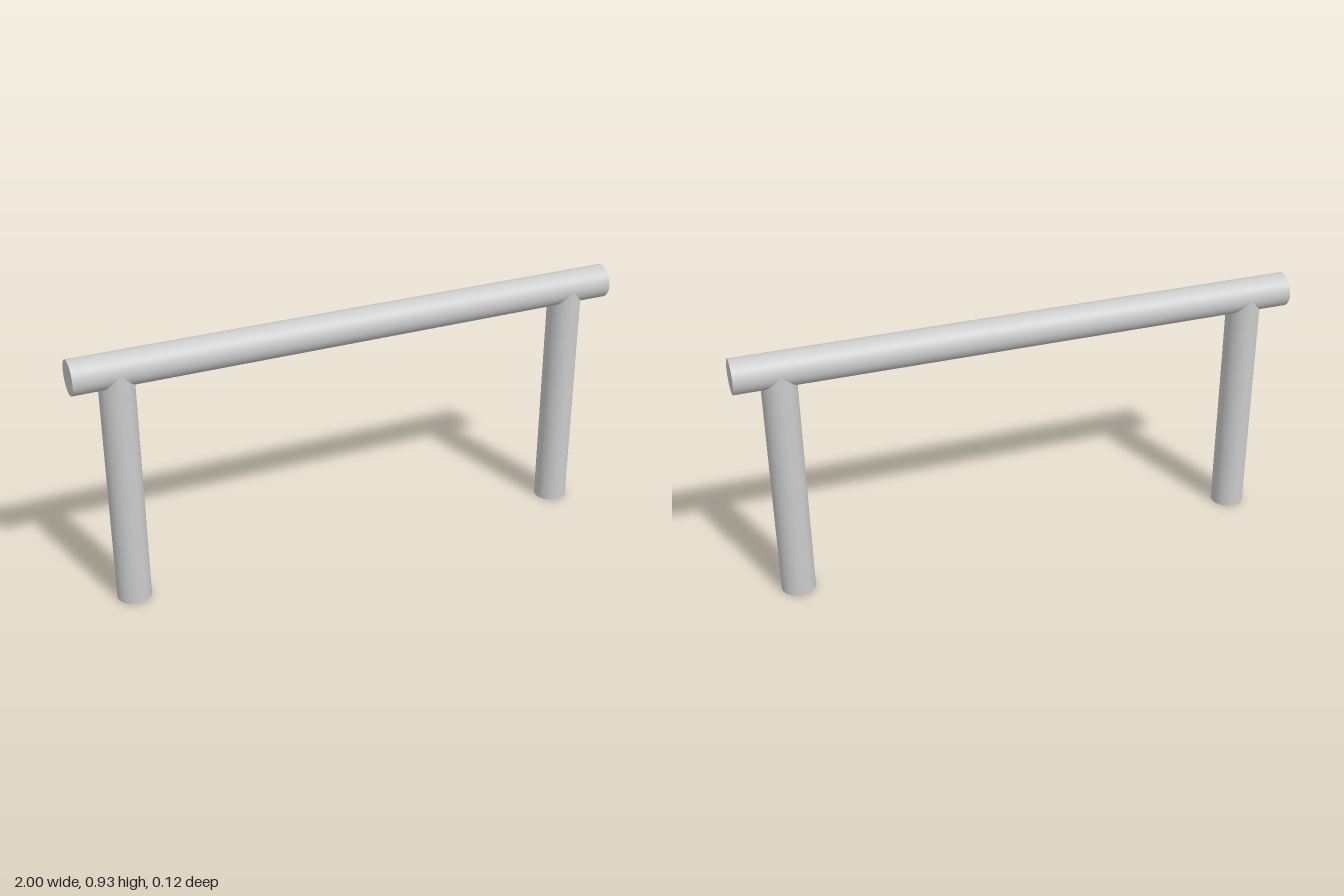
import * as THREE from 'three';
import { mergeGeometries } from 'three/addons/utils/BufferGeometryUtils.js';

const R = 0.06;        // tube radius, shared by rail and posts
const AXIS_Y = 0.865;  // height of the rail axis
const POST_X = 0.845;  // distance of each post from the centre
const SIDES = 64;

// Upright tube, its top cut to a saddle that meets the rail, its foot closed
function postGeometry() {
  const tube = new THREE.CylinderGeometry(R, R, AXIS_Y, SIDES, 1, true);
  tube.translate(0, AXIS_Y / 2, 0);
  const pos = tube.attributes.position;
  for (let i = 0; i < pos.count; i++) {
    if (pos.getY(i) > AXIS_Y / 2) pos.setY(i, AXIS_Y - Math.abs(pos.getX(i)));
  }
  const foot = new THREE.CircleGeometry(R, SIDES);
  foot.rotateX(Math.PI / 2);
  return mergeGeometries([tube, foot]);
}

export function createModel() {
  const model = new THREE.Group();
  model.name = 'hoopBarrier';
  const material = new THREE.MeshStandardMaterial({ color: 0xcccccc });

  // Horizontal rail
  const railGeometry = new THREE.CylinderGeometry(R, R, 2, SIDES);
  railGeometry.rotateZ(Math.PI / 2);
  const rail = new THREE.Mesh(railGeometry, material);
  rail.name = 'topRail';
  rail.position.y = AXIS_Y;
  model.add(rail);

  // Pair of posts
  const geometry = postGeometry();
  for (const [name, side] of [['leftPost', 1], ['rightPost', -1]]) {
    const post = new THREE.Mesh(geometry, material);
    post.name = name;
    post.position.x = side * POST_X;
    model.add(post);
  }
  return model;
}
